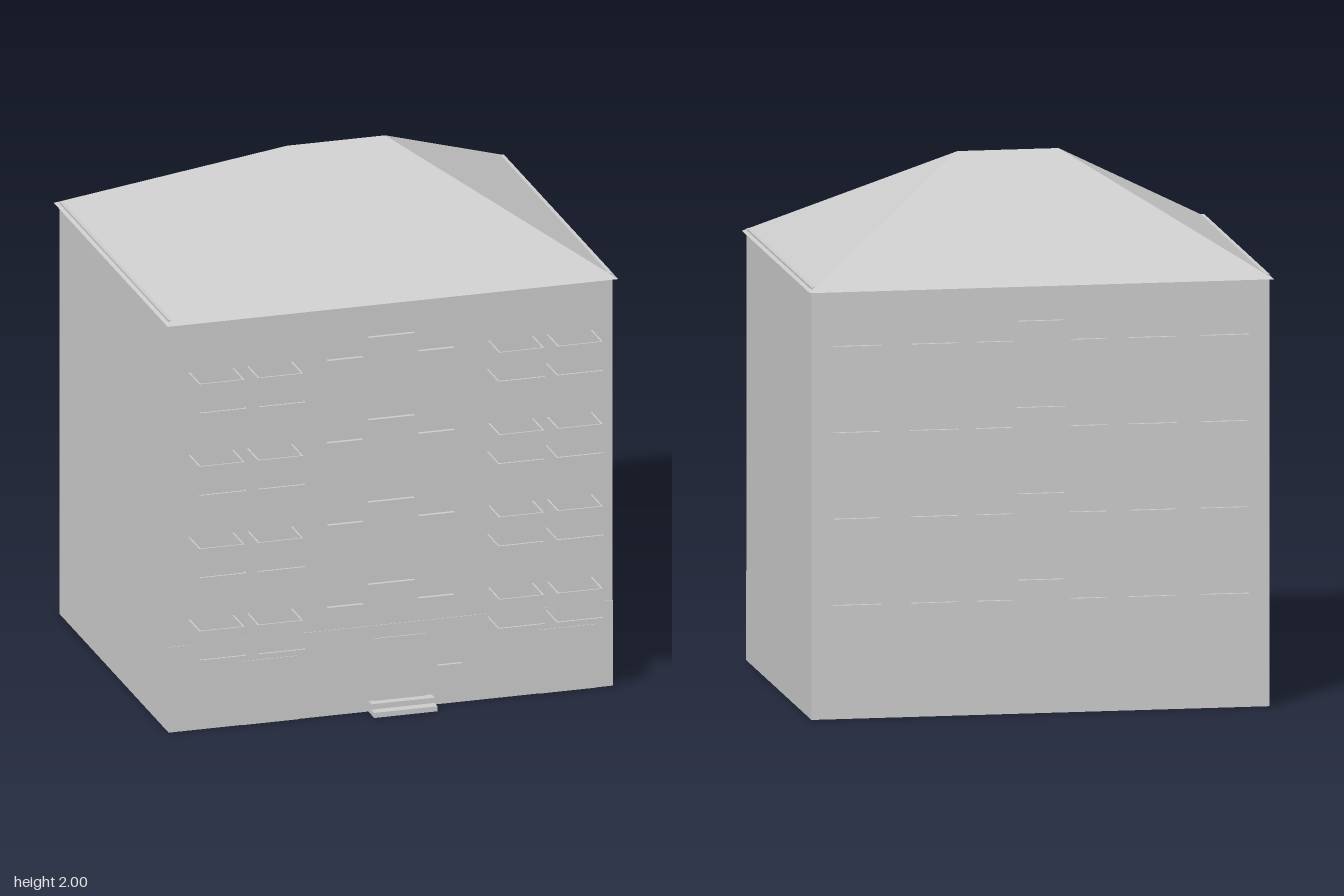
import * as THREE from 'three';

const grey = new THREE.MeshStandardMaterial({ color: 0xcccccc, flatShading: true });
const sheet = new THREE.MeshStandardMaterial({ color: 0xcccccc, flatShading: true, side: THREE.DoubleSide });

const FRONT = 0.62, BACK = -0.73, HALF = 0.86, WALL_TOP = 1.62;
const FLOORS = 4, STEP = 0.3235;

// Box given by its limits on each axis
function box(parent, name, x0, x1, y0, y1, z0, z1) {
  const mesh = new THREE.Mesh(new THREE.BoxGeometry(x1 - x0, y1 - y0, z1 - z0), grey);
  mesh.position.set((x0 + x1) / 2, (y0 + y1) / 2, (z0 + z1) / 2);
  mesh.name = name;
  parent.add(mesh);
  return mesh;
}

// Hollow wall shell, open underneath
function walls() {
  const geo = new THREE.BoxGeometry(HALF * 2, WALL_TOP, FRONT - BACK);
  const index = Array.from(geo.index.array);
  index.splice(18, 6); // drop the bottom face
  geo.setIndex(index);
  geo.clearGroups();
  geo.translate(0, WALL_TOP / 2, (FRONT + BACK) / 2);
  const mesh = new THREE.Mesh(geo, sheet);
  mesh.name = 'walls';
  return mesh;
}

// Hipped roof with a short ridge
function roof() {
  const x = 0.872, y = 1.605, zf = 0.65, zb = -0.763, r = 0.19, zr = -0.056;
  const geo = new THREE.BufferGeometry();
  geo.setAttribute('position', new THREE.Float32BufferAttribute([
    -x, y, zf, x, y, zf, x, y, zb, -x, y, zb, -r, 2, zr, r, 2, zr,
  ], 3));
  geo.setIndex([0, 1, 5, 0, 5, 4, 1, 2, 5, 2, 3, 4, 2, 4, 5, 3, 0, 4]);
  const flat = geo.toNonIndexed();
  flat.computeVertexNormals();
  const mesh = new THREE.Mesh(flat, sheet);
  mesh.name = 'roof';
  return mesh;
}

// Balcony: floor slab with thin parapet on three sides
function balcony(x0, x1, y) {
  const g = new THREE.Group();
  g.name = 'balcony';
  const t = 0.006, top = y + 0.126, zf = 0.755;
  const lip = 0.005 * Math.sign(x0); // slab overhangs toward the middle
  box(g, 'balconyFloor', x0 - Math.max(lip, 0), x1 - Math.min(lip, 0), y, y + 0.015, FRONT, 0.763);
  box(g, 'balconyFront', x0, x1, y + 0.015, top, zf - t, zf);
  box(g, 'balconySide', x0, x0 + t, y + 0.015, top, FRONT, zf - t);
  box(g, 'balconySide', x1 - t, x1, y + 0.015, top, FRONT, zf - t);
  return g;
}

export function createModel() {
  const model = new THREE.Group();
  model.name = 'apartmentBlock';
  model.add(walls(), roof());

  const sill = (x0, x1, y, front) => box(model, 'windowSill', x0, x1, y - 0.004, y + 0.004,
    front ? FRONT : BACK - 0.015, front ? FRONT + 0.015 : BACK);

  for (let i = 0; i < FLOORS; i++) {
    const dy = i * STEP;
    // Two balconies on each side of the front
    for (const [a, b] of [[-0.782, -0.607], [-0.555, -0.38], [0.378, 0.553], [0.605, 0.78]]) {
      model.add(balcony(a, b, 0.309 + dy));
    }
    // Stairwell sill and its two lower neighbours, front and back
    for (const front of [true, false]) {
      sill(-0.09, 0.09, 0.498 + dy, front);
      sill(-0.248, -0.11, 0.424 + dy, front);
      sill(0.106, 0.244, 0.424 + dy, front);
    }
    // Wide sills on the back
    for (const [a, b] of [[0.6, 0.78], [0.31, 0.49], [-0.51, -0.33], [-0.78, -0.6]]) {
      sill(a, b, 0.424 + dy, false);
    }
  }
  sill(0.178, 0.275, 0.152, true);

  // Shallow plinth with side panels
  box(model, 'plinth', -HALF, HALF, 0, 0.335, FRONT, FRONT + 0.003);
  box(model, 'sidePanel', -0.58, -0.36, 0, 0.25, FRONT, FRONT + 0.006);
  box(model, 'sidePanel', 0.575, 0.8, 0, 0.25, FRONT, FRONT + 0.006);

  // Entrance door and steps
  box(model, 'door', -0.066, 0.137, 0.04, 0.285, FRONT, FRONT + 0.008);
  box(model, 'upperStep', -0.087, 0.158, 0.02, 0.041, FRONT, 0.66);
  box(model, 'lowerStep', -0.087, 0.158, 0, 0.02, FRONT, 0.697);
  return model;
}
